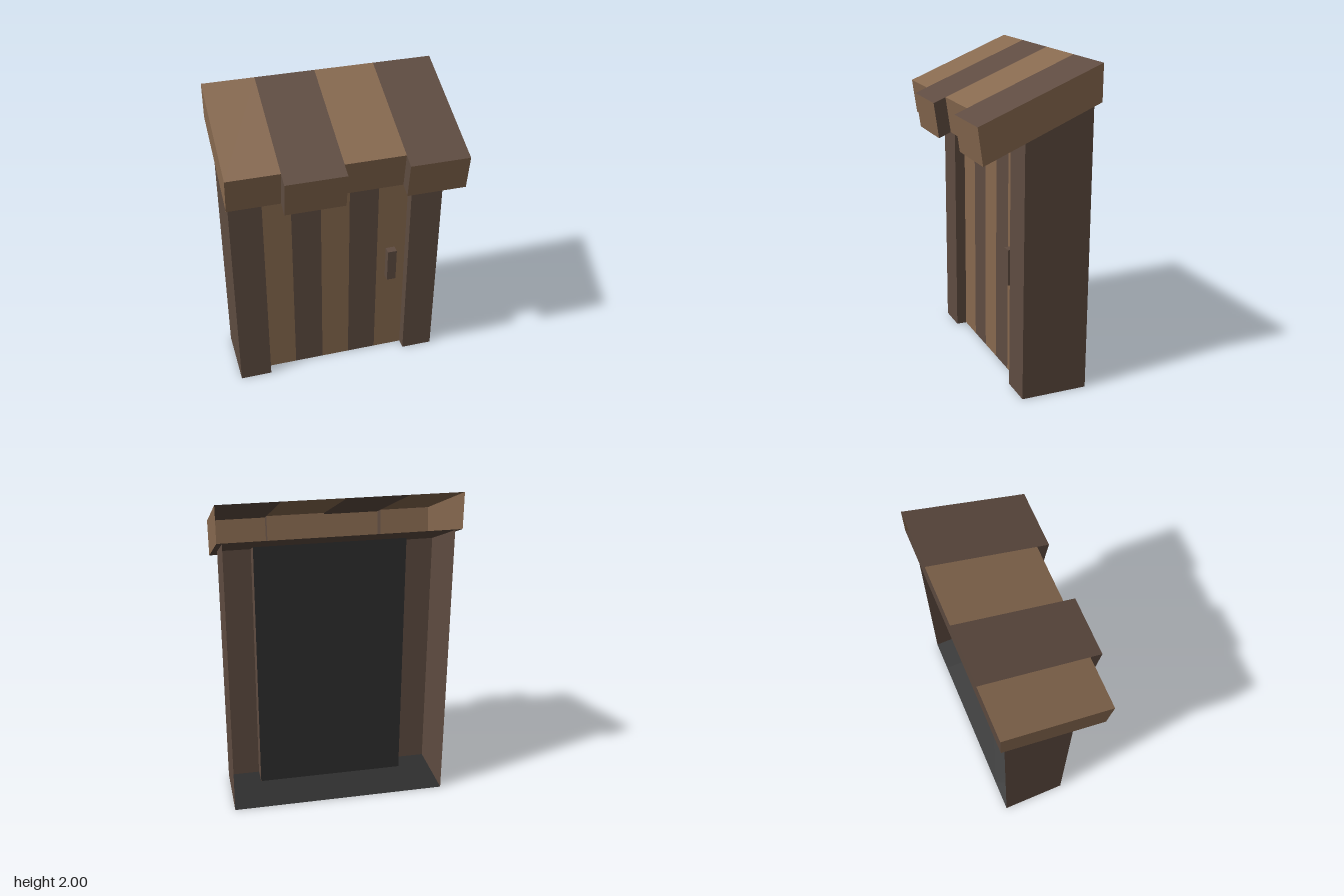
import * as THREE from 'three';

const flat = (name, color) => {
  const m = new THREE.MeshStandardMaterial({ color, side: THREE.DoubleSide });
  m.name = name;
  return m;
};

export function createModel() {
  const lightWood = flat('light wood', 0x87694f);
  const darkWood = flat('dark wood', 0x5f4c41);
  const black = flat('black lining', 0x2e2e2e);
  const model = new THREE.Group();
  model.name = 'shed';

  // Flat convex sheet from its corners
  function sheet(name, material, corners, parent = model) {
    const points = [];
    for (let i = 1; i < corners.length - 1; i++) points.push(...corners[0], ...corners[i], ...corners[i + 1]);
    const g = new THREE.BufferGeometry();
    g.setAttribute('position', new THREE.Float32BufferAttribute(points, 3));
    g.computeVertexNormals();
    const mesh = new THREE.Mesh(g, material);
    mesh.name = name;
    parent.add(mesh);
  }

  // Roof slopes and main depths
  const under = z => 1.48 + (0.34 - z) * 0.4225;
  const over = z => 1.70 + (0.37 - z) * 0.405;
  const W = 0.68, D = 0.475, front = 0.08, back = -0.34, doorZ = 0.012, liningZ = -0.04;

  // Upright sheets that end at the underside of the roof
  const facing = (name, mat, x0, x1, z) =>
    sheet(name, mat, [[x0, 0, z], [x1, 0, z], [x1, under(z), z], [x0, under(z), z]]);
  const sideways = (name, mat, x, z0, z1) =>
    sheet(name, mat, [[x, 0, z0], [x, 0, z1], [x, under(z1), z1], [x, under(z0), z0]]);
  const floor = (x0, x1, z0, z1) =>
    sheet('floor', black, [[x0, 0, z0], [x0, 0, z1], [x1, 0, z1], [x1, 0, z0]]);

  // Walls, front posts and the door recess
  for (const s of [-1, 1]) {
    sideways('sideWall', darkWood, s * W, back, front);
    facing('frontPost', darkWood, s * D, s * W, front);
    sideways('doorReveal', darkWood, s * D, liningZ, front);
    floor(s * D, s * W, back, front);
  }
  floor(-D, D, back, doorZ);
  facing('doorLining', black, -D, D, liningZ);

  // Door boards
  const boards = [-D, -0.283, -0.093, 0.093, 0.283, D];
  for (let i = 0; i < 5; i++) {
    facing('doorBoard', i % 2 ? darkWood : lightWood, boards[i], boards[i + 1], doorZ);
  }

  // Door handle
  const handle = new THREE.Mesh(new THREE.BoxGeometry(0.06, 0.228, 0.05), darkWood);
  handle.name = 'doorHandle';
  handle.position.set(0.373, 0.743, doorZ + 0.025);
  model.add(handle);

  // Hollow roof, open at the back, with alternating plank lengths
  const roof = new THREE.Group();
  roof.name = 'roof';
  model.add(roof);
  const rear = -0.373, short = 0.297, long = 0.373, lean = 0.031;
  const edges = [-0.713, -0.393, -0.025, 0.346, 0.713];
  const end = (name, mat, x, z0, z1, lean0) => sheet(name, mat, [
    [x, over(z0), z0], [x, over(z1), z1],
    [x, under(z1 - lean), z1 - lean], [x, under(z0 - lean0), z0 - lean0]], roof);
  for (let i = 0; i < 4; i++) {
    const a = edges[i], b = edges[i + 1], z = i % 2 ? long : short, zl = z - lean;
    sheet('roofPlank', i % 2 ? darkWood : lightWood,
      [[a, over(z), z], [b, over(z), z], [b, over(rear), rear], [a, over(rear), rear]], roof);
    sheet('roofFront', lightWood,
      [[a, under(zl), zl], [b, under(zl), zl], [b, over(z), z], [a, over(z), z]], roof);
    sheet('roofUnderside', darkWood,
      [[a, under(rear), rear], [b, under(rear), rear], [b, under(zl), zl], [a, under(zl), zl]], roof);
    if (i) end('roofStep', darkWood, a, short, long, lean);
  }
  end('roofSide', lightWood, edges[0], rear, short, 0);
  end('roofSide', lightWood, edges[4], rear, long, 0);

  return model;
}
